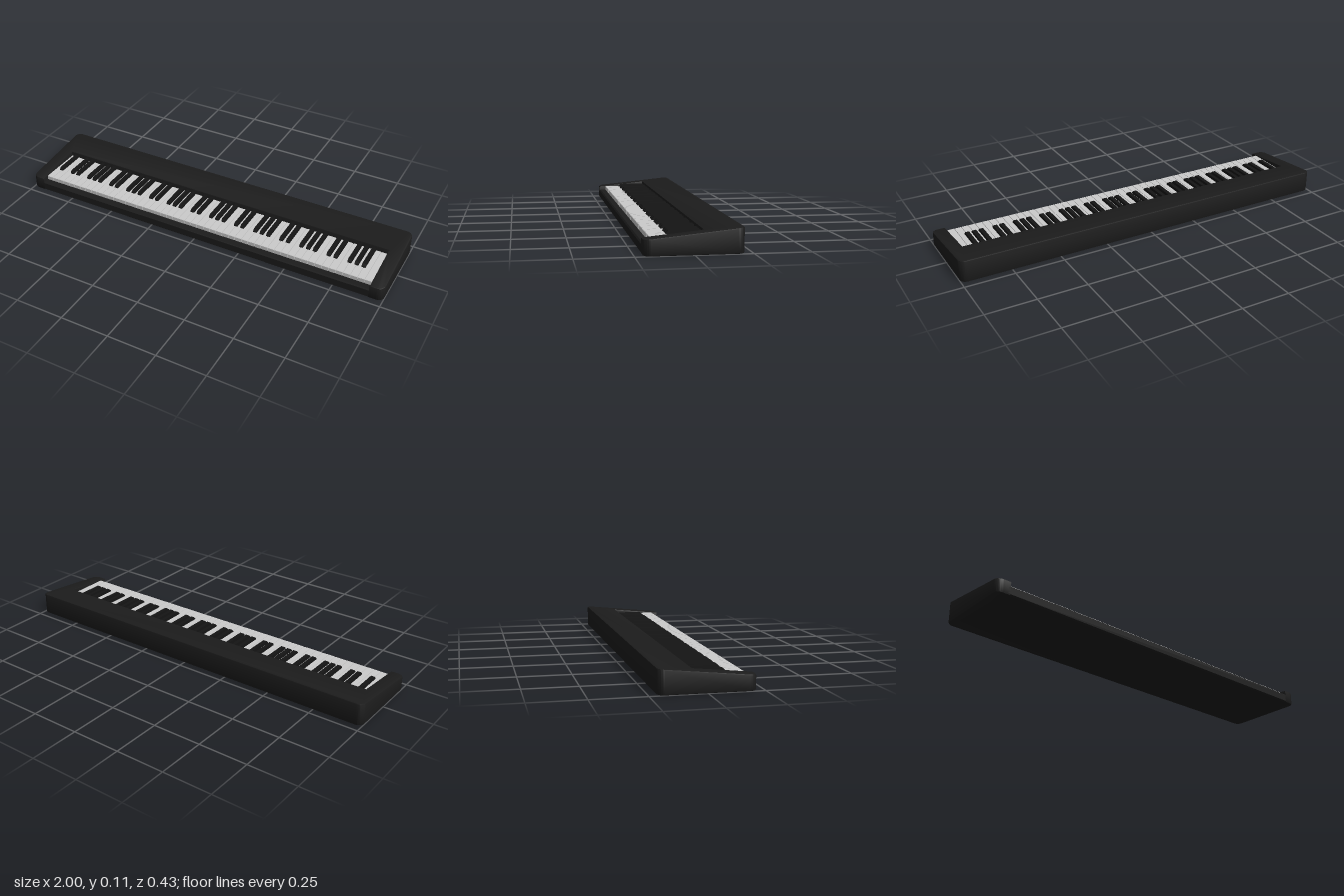
import * as THREE from 'three';
import { toCreasedNormals } from 'three/addons/utils/BufferGeometryUtils.js';

const HALF_W = 1, HALF_D = 0.215, KEY_X = 0.93, KEY_BACK = -0.05, KEY_FRONT = 0.18;
const BEVEL = 0.006;
const topHeight = z => 0.07 + (0.21 - z) * 0.1; // sloping top of the case

// Case seen from above: rounded rectangle with a notch for the keys (shape y = -z)
function casePlan() {
  const r = 0.032, s = new THREE.Shape();
  s.moveTo(-HALF_W + r, -HALF_D);
  s.lineTo(-KEY_X, -HALF_D);
  s.lineTo(-KEY_X, -KEY_BACK);
  s.lineTo(KEY_X, -KEY_BACK);
  s.lineTo(KEY_X, -HALF_D);
  s.lineTo(HALF_W - r, -HALF_D);
  s.absarc(HALF_W - r, -HALF_D + r, r, -Math.PI / 2, 0);
  s.absarc(HALF_W - r, HALF_D - r, r, 0, Math.PI / 2);
  s.absarc(-HALF_W + r, HALF_D - r, r, Math.PI / 2, Math.PI);
  s.absarc(-HALF_W + r, -HALF_D + r, r, Math.PI, Math.PI * 1.5);
  return s;
}

function caseGeometry() {
  const h = 0.09;
  const g = new THREE.ExtrudeGeometry(casePlan(), {
    depth: h - 2 * BEVEL, bevelSize: BEVEL, bevelThickness: BEVEL,
    bevelOffset: -BEVEL, bevelSegments: 2, curveSegments: 8,
  });
  g.rotateX(-Math.PI / 2).translate(0, BEVEL, 0);
  // Raise the upper half to follow the slope
  const p = g.attributes.position;
  for (let i = 0; i < p.count; i++) {
    if (p.getY(i) > h / 2) p.setY(i, p.getY(i) - h + topHeight(p.getZ(i)));
  }
  return toCreasedNormals(g, 0.6);
}

// Extrudes a side profile of [z, y] points along x, centred on x = 0
function alongX(points, width) {
  const s = new THREE.Shape(points.map(([z, y]) => new THREE.Vector2(-z, y)));
  const g = new THREE.ExtrudeGeometry(s, { depth: width, bevelEnabled: false });
  return g.translate(0, 0, -width / 2).rotateY(Math.PI / 2);
}

export function createModel() {
  const model = new THREE.Group();
  model.name = 'keyboard';
  const black = new THREE.MeshStandardMaterial({ color: 0x1c1c1c });
  const keyBlack = new THREE.MeshStandardMaterial({ color: 0x141414 });
  const white = new THREE.MeshStandardMaterial({ color: 0xe2e2e2 });

  const add = (name, geometry, material, parent = model) => {
    const mesh = new THREE.Mesh(geometry, material);
    mesh.name = name;
    parent.add(mesh);
    return mesh;
  };

  add('case', caseGeometry(), black);

  // Key bed with the low front rail
  add('keyBed', alongX([
    [KEY_BACK - 0.02, 0], [HALF_D - BEVEL, 0], [HALF_D, BEVEL],
    [HALF_D, 0.042], [HALF_D - BEVEL, 0.048], [KEY_BACK - 0.02, 0.048],
  ], 2 * KEY_X + 0.02), black);

  // 88 keys: 52 white, 36 black, starting on A
  const whiteKeys = new THREE.Group(), blackKeys = new THREE.Group();
  whiteKeys.name = 'whiteKeys';
  blackKeys.name = 'blackKeys';
  model.add(whiteKeys, blackKeys);

  const count = 52, pitch = (2 * KEY_X) / count;
  const whiteGeo = alongX([
    [KEY_BACK - 0.005, 0.04], [KEY_FRONT, 0.04], [KEY_FRONT, 0.068],
    [KEY_FRONT - 0.002, 0.07], [KEY_BACK - 0.005, 0.07],
  ], pitch - 0.0022);
  const blackGeo = alongX([
    [KEY_BACK - 0.005, 0.06], [0.102, 0.06], [0.1, 0.075],
    [0.09, 0.085], [KEY_BACK - 0.005, 0.085],
  ], 0.02);
  const sharpAfter = [true, false, true, true, false, true, true]; // A B C D E F G

  for (let i = 0; i < count; i++) {
    const left = -KEY_X + i * pitch;
    add('whiteKey', whiteGeo, white, whiteKeys).position.x = left + pitch / 2;
    if (sharpAfter[i % 7] && i < count - 1) {
      add('blackKey', blackGeo, keyBlack, blackKeys).position.x = left + pitch;
    }
  }
  return model;
}
